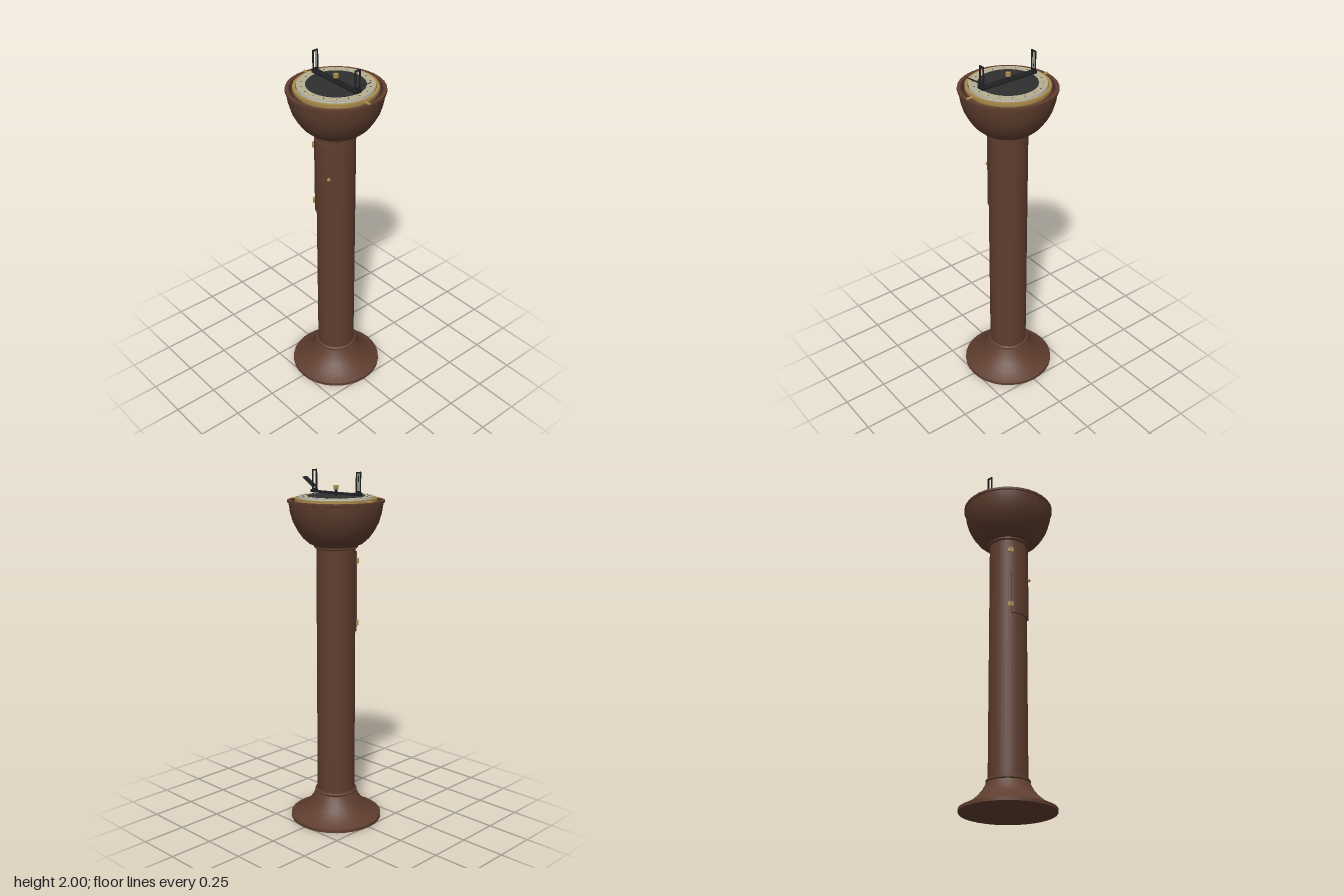
import * as THREE from 'three';
import { toCreasedNormals } from 'three/addons/utils/BufferGeometryUtils.js';

const mat = (name, color) => {
  const m = new THREE.MeshStandardMaterial({ color });
  m.name = name;
  return m;
};

export function createModel() {
  const wood = mat('wood', 0x5e3d2e);
  const brass = mat('brass', 0xa98a4c);
  const cream = mat('cream', 0xb5ae90);
  const dark = mat('darkGrey', 0x2f2f2f);
  const black = mat('black', 0x1e2022);
  const glass = mat('paleGlass', 0xc4d0d4);

  const model = new THREE.Group();
  model.name = 'compassPedestal';

  const add = (name, geometry, material, x = 0, y = 0, z = 0, parent = model) => {
    const mesh = new THREE.Mesh(geometry, material);
    mesh.name = name;
    mesh.position.set(x, y, z);
    parent.add(mesh);
    return mesh;
  };
  const lathe = (points, segments = 32) => toCreasedNormals(
    new THREE.LatheGeometry(points.map(([r, y]) => new THREE.Vector2(r, y)), segments), 0.6);
  const box = (w, h, d) => new THREE.BoxGeometry(w, h, d);
  const cyl = (r, h, n = 16) => new THREE.CylinderGeometry(r, r, h, n);

  // Flared foot, column and collars
  add('base', lathe([[0, 0], [0.262, 0], [0.262, 0.018], [0.235, 0.03], [0.2, 0.052],
    [0.165, 0.082], [0.138, 0.115], [0.118, 0.155], [0, 0.155]]), wood);
  add('column', cyl(0.108, 1.45, 32), wood, 0, 0.865);
  for (const [name, y] of [['lowerCollar', 0.165], ['upperCollar', 1.592]])
    add(name, lathe([[0, -0.009], [0.113, -0.009], [0.12, -0.004], [0.12, 0.004],
      [0.113, 0.009], [0, 0.009]]), wood, 0, y);

  // Hollow bowl, outer wall up and inner wall down
  add('bowl', lathe([[0, 1.592], [0.115, 1.594], [0.148, 1.61], [0.182, 1.64], [0.21, 1.678],
    [0.235, 1.725], [0.25, 1.775], [0.258, 1.83], [0.264, 1.832], [0.264, 1.845], [0.245, 1.845],
    [0.24, 1.79], [0.222, 1.73], [0.19, 1.67], [0.14, 1.63], [0, 1.62]]), wood);

  // Curved door on the front of the column
  const half = 0.7, mid = -Math.PI / 2;
  const doorShape = new THREE.Shape();
  doorShape.absarc(0, 0, 0.117, mid - half, mid + half, false);
  doorShape.absarc(0, 0, 0.1, mid + half, mid - half, true);
  const doorGeo = new THREE.ExtrudeGeometry(doorShape, { depth: 0.45, bevelEnabled: false, curveSegments: 12 });
  doorGeo.rotateX(-Math.PI / 2);
  add('door', toCreasedNormals(doorGeo, 0.6), wood, 0, 1.11, 0);

  // Door hinges and knob
  for (const y of [1.51, 1.16]) {
    const hinge = new THREE.Group();
    hinge.name = 'hinge';
    hinge.position.set(-0.078, y, 0.088);
    hinge.rotation.y = -0.72;
    model.add(hinge);
    add('hingePlate', box(0.03, 0.026, 0.008), brass, 0, 0, 0, hinge);
    add('hingeBarrel', cyl(0.005, 0.03, 10), brass, 0, 0, 0.005, hinge);
  }
  add('knob', new THREE.SphereGeometry(0.01, 12, 8), brass, 0.063, 1.36, 0.104);

  // Gimbal ring with its pivots
  add('gimbalRing', lathe([[0.208, 1.84], [0.225, 1.84], [0.225, 1.857], [0.208, 1.857], [0.208, 1.84]], 48), brass);
  for (const s of [-1, 1]) {
    add('gimbalPin', cyl(0.007, 0.04, 12), brass, s * 0.239, 1.847, 0).rotation.z = Math.PI / 2;
    add('innerPivot', box(0.008, 0.008, 0.012), brass, 0, 1.852, s * 0.207);
  }

  // Compass bowl, card and centre disc
  add('compassBowl', lathe([[0, 1.68], [0.08, 1.69], [0.145, 1.73], [0.185, 1.78], [0.203, 1.85], [0, 1.85]], 48), brass);
  add('glassEdge', cyl(0.2045, 0.014, 48), glass, 0, 1.856);
  add('card', cyl(0.205, 0.003, 64), cream, 0, 1.8645);
  add('cardCentre', cyl(0.158, 0.002, 64), dark, 0, 1.867);
  for (let i = 0; i < 18; i++) {
    const a = THREE.MathUtils.degToRad(10 + i * 20);
    add('tick', box(0.0025, 0.002, 0.009), black,
      Math.sin(a) * 0.181, 1.8663, Math.cos(a) * 0.181).rotation.y = a;
  }

  // Sighting bar with brass hub
  const sight = new THREE.Group();
  sight.name = 'sight';
  model.add(sight);
  add('bar', box(0.35, 0.01, 0.038), black, 0, 1.88, 0, sight);
  add('pivot', cyl(0.009, 0.036, 12), black, 0, 1.884, 0, sight);
  add('hub', cyl(0.0145, 0.02, 8), brass, 0, 1.911, 0, sight);

  // Slotted upright vanes
  const frame = new THREE.Shape();
  frame.moveTo(-0.018, 0); frame.lineTo(0.018, 0); frame.lineTo(0.018, 0.12); frame.lineTo(-0.018, 0.12);
  const slot = new THREE.Path();
  slot.moveTo(-0.011, 0.02); slot.lineTo(-0.011, 0.112); slot.lineTo(0.011, 0.112); slot.lineTo(0.011, 0.02);
  frame.holes.push(slot);
  const vaneGeo = new THREE.ExtrudeGeometry(frame, { depth: 0.006, bevelEnabled: false });
  vaneGeo.translate(0, 0, -0.003);
  vaneGeo.rotateY(Math.PI / 2);
  for (const s of [-1, 1]) {
    add('vane', vaneGeo, black, s * 0.165, 1.88, 0, sight);
    add('vaneFoot', box(0.012, 0.014, s > 0 ? 0.046 : 0.038), black, s * 0.169, 1.884, 0, sight);
  }
  add('sightWire', box(0.002, 0.094, 0.002), black, -0.165, 1.946, 0, sight);

  // Tilted mirror
  add('mirror', box(0.092, 0.004, 0.038), black, 0.204, 1.93, 0, sight).rotation.z = 0.576;

  return model;
}
